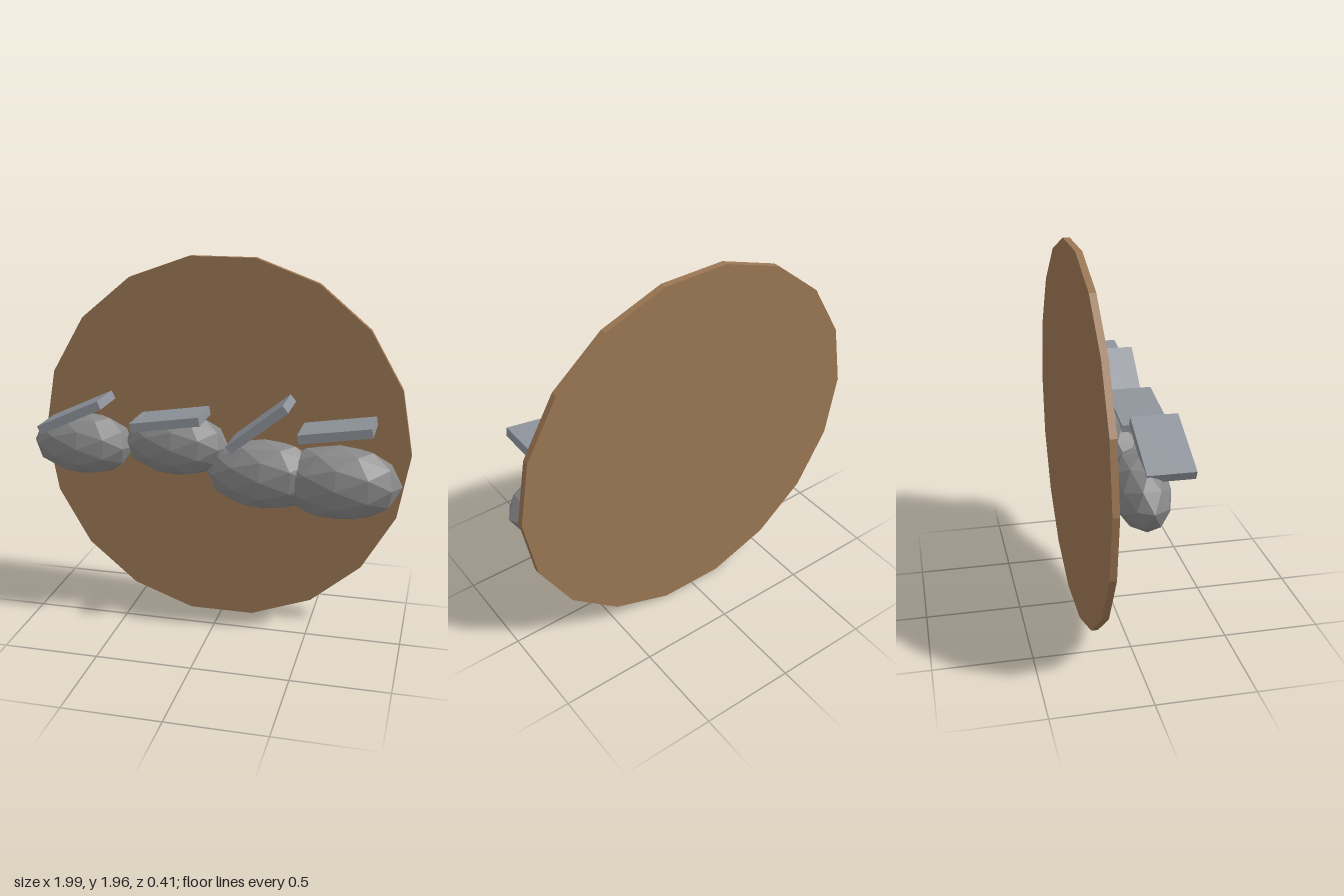
import * as THREE from 'three';

export function createModel() {
  const model = new THREE.Group();
  const material = (color) => new THREE.MeshStandardMaterial({ color, flatShading: true });
  const wood = material(0x9b7653);
  const stone = material(0x888888);
  const slate = material(0x8d929a);

  const add = (name, geometry, mat, x, y, z) => {
    const mesh = new THREE.Mesh(geometry, mat);
    mesh.name = name;
    mesh.position.set(x, y, z);
    model.add(mesh);
    return mesh;
  };

  // Upright 18-sided backing disc with a flat edge at the bottom
  const disc = new THREE.CylinderGeometry(0.996, 0.996, 0.034, 18, 1, false, Math.PI / 18);
  disc.rotateX(Math.PI / 2);
  add('backingDisc', disc, wood, 0, 0.981, -0.186);

  // Row of faceted, flattened boulders: x, y, half-length
  const boulders = [
    [-0.718, 0.977, 0.279],
    [-0.205, 1.01, 0.279],
    [0.26, 0.88, 0.306],
    [0.645, 0.866, 0.324],
  ];
  const boulderGeometry = new THREE.IcosahedronGeometry(1, 1);
  boulders.forEach(([x, y, r], i) => {
    add(`boulder${i + 1}`, boulderGeometry, stone, x, y, -0.015)
      .scale.set(r, r * 0.615, r * 0.475);
  });

  // Tilted slabs above the boulders: x, y, tilt in degrees
  const slabs = [
    [-0.715, 1.173, 25],
    [-0.21, 1.171, 9],
    [0.26, 1.178, 39],
    [0.645, 1.173, 9],
  ];
  const slabGeometry = new THREE.BoxGeometry(0.365, 0.046, 0.228);
  slabs.forEach(([x, y, tilt], i) => {
    add(`slab${i + 1}`, slabGeometry, slate, x, y, 0.088)
      .rotation.z = THREE.MathUtils.degToRad(tilt);
  });

  return model;
}
